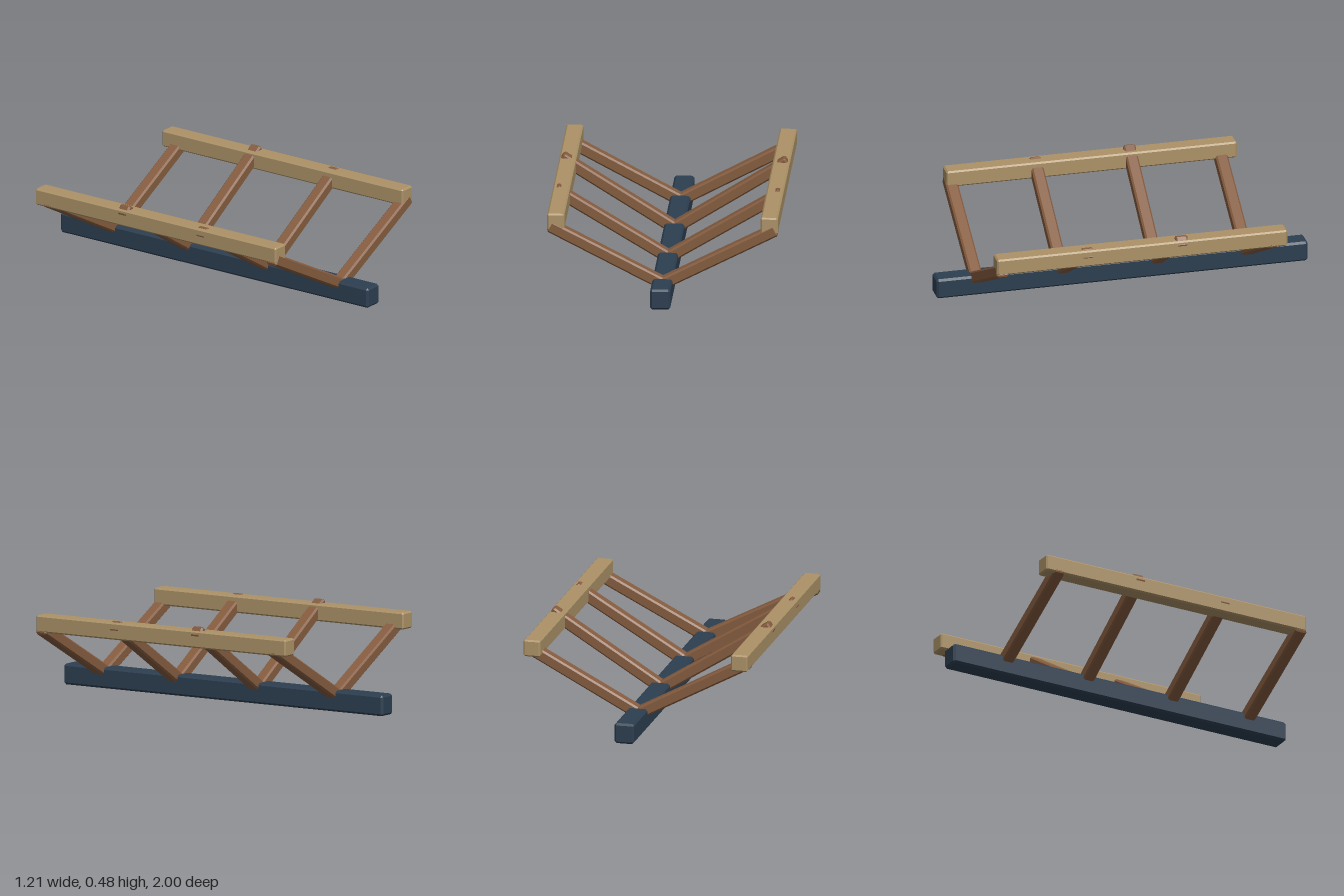
import * as THREE from 'three';
import { ConvexGeometry } from 'three/addons/geometries/ConvexGeometry.js';

// Box with every edge and corner cut at 45 degrees
function chamferedBox(w, h, d, c) {
  const points = [];
  for (const sx of [-1, 1]) for (const sy of [-1, 1]) for (const sz of [-1, 1]) {
    const x = w / 2, y = h / 2, z = d / 2;
    points.push(
      new THREE.Vector3(sx * x, sy * (y - c), sz * (z - c)),
      new THREE.Vector3(sx * (x - c), sy * y, sz * (z - c)),
      new THREE.Vector3(sx * (x - c), sy * (y - c), sz * z)
    );
  }
  return new ConvexGeometry(points);
}

export function createModel() {
  const group = new THREE.Group();
  const material = (name, color) => new THREE.MeshStandardMaterial({ name, color });
  const keelBlue = material('keelBlue', 0x2c3e50);
  const ribBrown = material('ribBrown', 0x855c3f);
  const railTan = material('railTan', 0xac9267);

  const add = (name, geometry, mat, x, y, z) => {
    const mesh = new THREE.Mesh(geometry, mat);
    mesh.name = name;
    mesh.position.set(x, y, z);
    group.add(mesh);
    return mesh;
  };

  // Keel beam along the bottom
  add('keel', chamferedBox(0.106, 0.11, 2, 0.011), keelBlue, 0, 0.055, 0);

  // Ribs rise from the keel; [z, height of the outer end]
  const ribs = [[0.778, 0.386], [0.318, 0.439], [-0.19, 0.454], [-0.674, 0.397]];
  const endX = 0.595, startY = 0.08;
  for (const side of [-1, 1]) {
    const label = side > 0 ? 'left' : 'right';
    ribs.forEach(([z, endY], i) => {
      const rise = endY - startY;
      const geometry = chamferedBox(Math.hypot(endX, rise), 0.062, 0.066, 0.009);
      const rib = add(`${label}Rib${i + 1}`, geometry, ribBrown, side * endX / 2, (startY + endY) / 2, z);
      rib.rotation.z = side * Math.atan2(rise, endX);
    });

    // Side rail joining the rib ends
    add(`${label}Rail`, chamferedBox(0.09, 0.09, 1.565, 0.008), railTan, side * 0.56, 0.41, 0.026);
  }
  return group;
}
